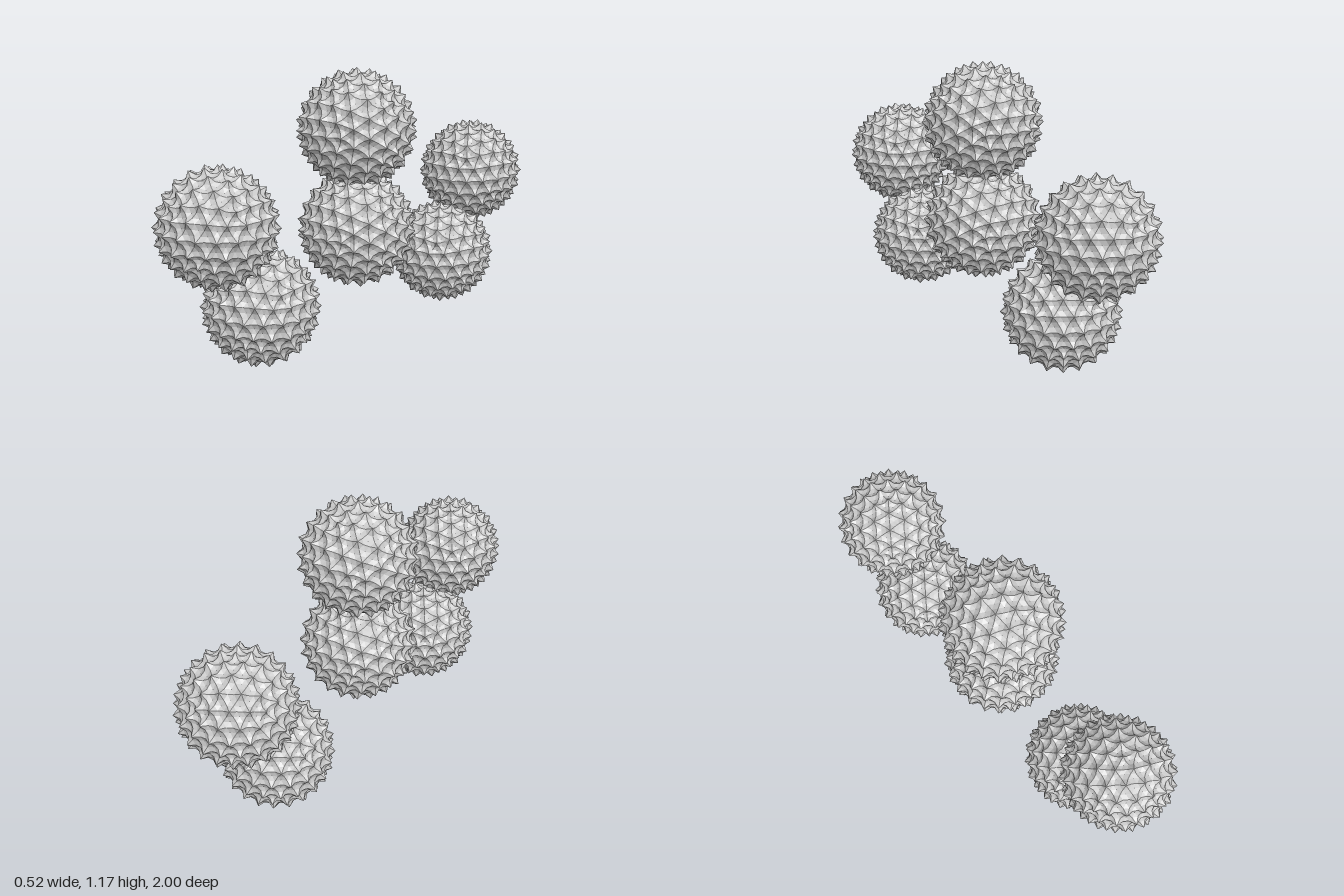
import * as THREE from 'three';
import { mergeVertices } from 'three/addons/utils/BufferGeometryUtils.js';

// Unit ball whose spikes stand on the points of a coarse geodesic grid
function spikyBallGeometry() {
  const coarse = new THREE.IcosahedronGeometry(1, 3);
  coarse.deleteAttribute('uv');
  coarse.deleteAttribute('normal');
  const tips = mergeVertices(coarse, 1e-3).getAttribute('position');
  const tipList = [];
  for (let i = 0; i < tips.count; i++) tipList.push(new THREE.Vector3().fromBufferAttribute(tips, i));

  // Each coarse triangle is split in nine: tips, a ring round each tip, a central valley
  const geometry = new THREE.IcosahedronGeometry(1, 11);
  const pos = geometry.getAttribute('position');
  const v = new THREE.Vector3();
  for (let i = 0; i < pos.count; i++) {
    v.fromBufferAttribute(pos, i).normalize();
    let nearest = Infinity;
    for (const t of tipList) nearest = Math.min(nearest, v.distanceTo(t));
    const radius = nearest < 0.02 ? 1 : nearest < 0.128 ? 0.91 : 0.875;
    v.multiplyScalar(radius);
    pos.setXYZ(i, v.x, v.y, v.z);
  }
  geometry.rotateZ(Math.PI / 2);
  geometry.computeVertexNormals();
  return geometry;
}

export function createModel() {
  const group = new THREE.Group();
  const geometry = spikyBallGeometry();
  const material = new THREE.MeshStandardMaterial({ color: 0xcccccc, flatShading: true });

  function addBall(name, y, z, radius, tilt) {
    const ball = new THREE.Mesh(geometry, material);
    ball.name = name;
    ball.position.set(0, y, z);
    ball.scale.setScalar(radius);
    ball.rotation.x = tilt;
    group.add(ball);
  }

  // Middle pair, stacked upright
  addBall('middleUpperBall', 0.915, 0.015, 0.262, 0);
  addBall('middleLowerBall', 0.478, 0.015, 0.262, 0);

  // Leaning pairs at front and back
  for (const [side, s] of [['front', 1], ['back', -1]]) {
    addBall(side + 'UpperBall', 0.62, s * 0.753, 0.247, s * 0.5);
    addBall(side + 'LowerBall', 0.25, s * 0.553, 0.247, s * 0.5);
  }
  return group;
}
